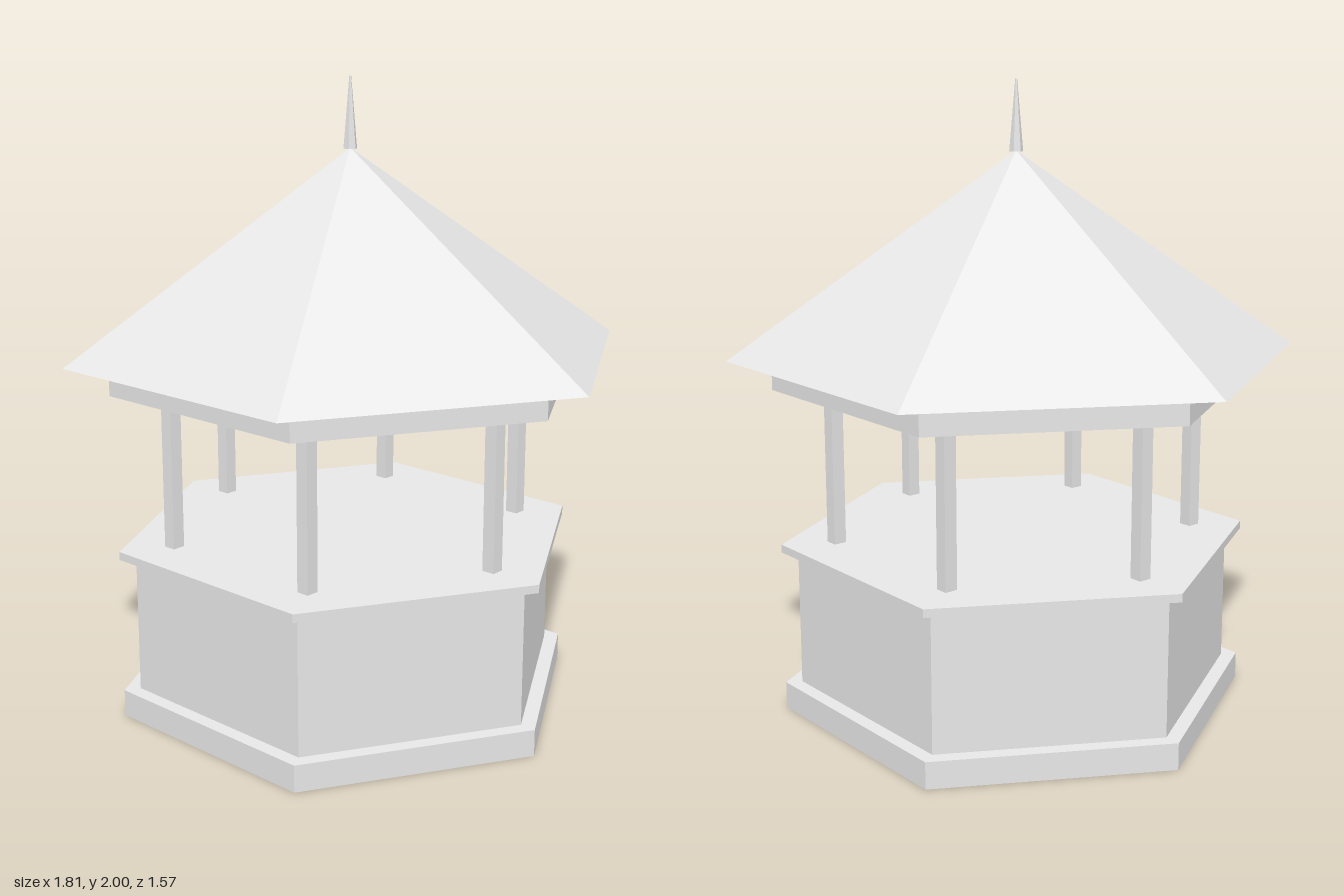
import * as THREE from 'three';

export function createModel() {
  const group = new THREE.Group();
  group.name = 'gazebo';
  const grey = new THREE.MeshStandardMaterial({ color: 0xe7e7e7, flatShading: true, side: THREE.DoubleSide });
  grey.name = 'light grey';

  const add = (name, geometry) => {
    const mesh = new THREE.Mesh(geometry, grey);
    mesh.name = name;
    group.add(mesh);
    return mesh;
  };

  // Six-sided shell from a [radius, height] profile, with corners on the x axis
  const shell = (name, profile) => {
    const points = profile.map(([r, y]) => new THREE.Vector2(r, y));
    add(name, new THREE.LatheGeometry(points, 6, Math.PI / 6));
  };

  // Prism with a top and sides, hollow and open underneath
  const prism = (name, radius, y0, y1) => shell(name, [[radius, y0], [radius, y1], [0, y1]]);
  prism('plinth', 0.755, 0, 0.086);
  prism('wall', 0.703, 0.086, 0.527);
  prism('counter', 0.755, 0.527, 0.553);
  prism('roofBeam', 0.767, 1.056, 1.152);

  // Hollow roof and slender finial
  shell('roof', [[0.905, 1.151], [0, 1.783]]);
  shell('finial', [[0.022, 1.78], [0.003, 2], [0, 2]]);

  // Square posts, one near each corner
  for (let i = 0; i < 6; i++) {
    const a = (i * Math.PI) / 3;
    const post = add('post', new THREE.BoxGeometry(0.042, 0.503, 0.042));
    post.position.set(0.58 * Math.cos(a), 0.8045, 0.58 * Math.sin(a));
  }

  return group;
}
